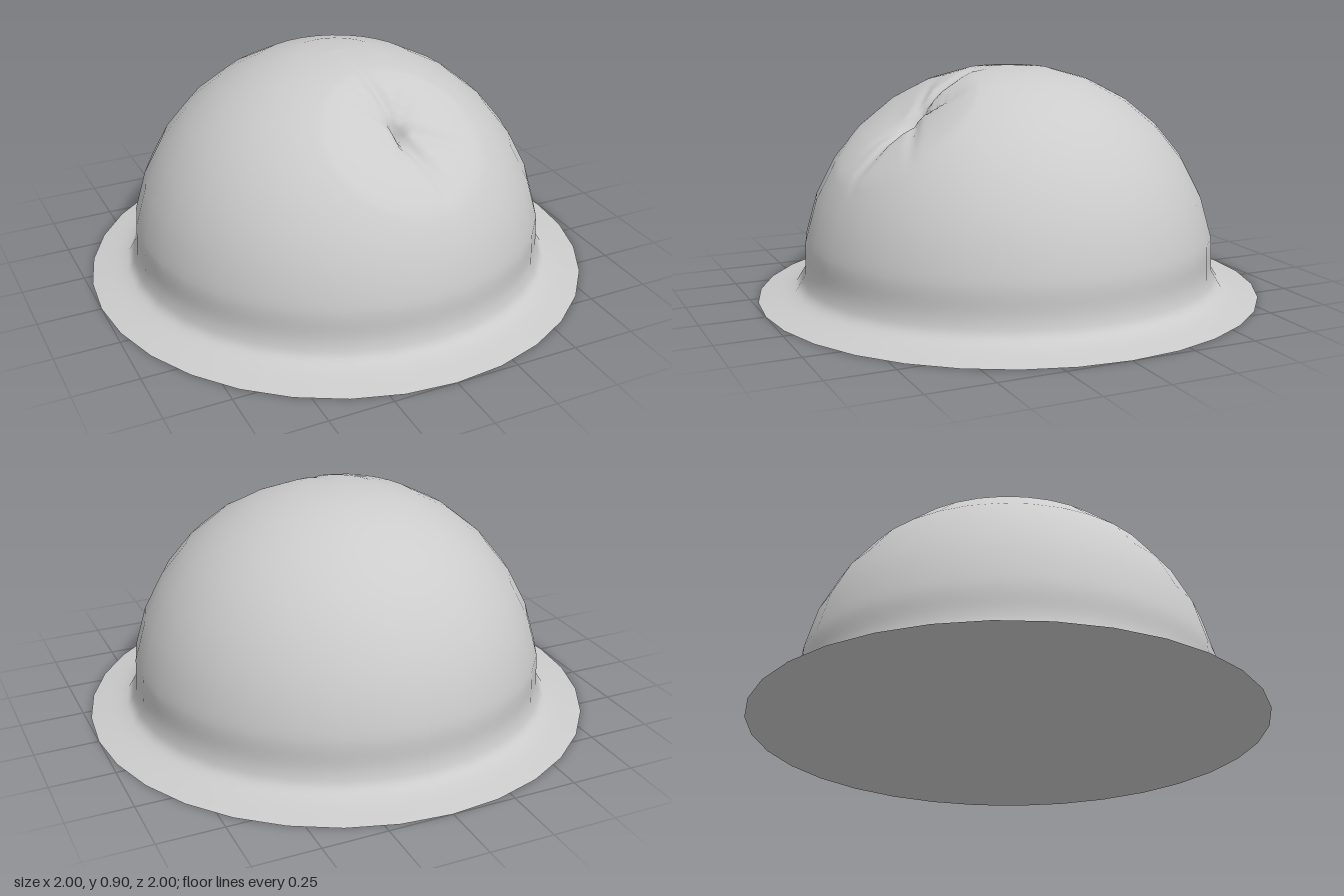
import * as THREE from 'three';

const SIDES = 32, SUB = 6; // visible facets, and fine steps per facet
const PROFILE = [
  [1, 0], [0.855, 0.035], [0.815, 0.1], [0.81, 0.235], [0.765, 0.395], [0.69, 0.54],
  [0.59, 0.665], [0.465, 0.768], [0.32, 0.845], [0.165, 0.89], [0, 0.905],
].map(([r, y]) => new THREE.Vector2(r, y));

// Impact dent: centre on the dome, and cracks as [dx, dz, depth] seen from above
const DENT = new THREE.Vector3(0.06, 0.735, 0.48);
const CRACKS = [
  [0.13, -0.19, 0.035], [0.09, 0.27, 0.035], [0.3, 0.1, 0.02],
  [-0.07, -0.38, 0.025], [-0.19, -0.2, 0.018], [-0.03, 0.2, 0.018],
];

function dentDepth(p) {
  const d = p.distanceTo(DENT);
  if (d > 0.5) return 0;
  let depth = 0.065 * Math.max(0, 1 - d / 0.32) ** 1.1;
  const x = p.x - DENT.x, z = p.z - DENT.z + 0.03;
  for (const [dx, dz, k] of CRACKS) {
    const len = Math.hypot(dx, dz);
    const along = (x * dx + z * dz) / len, across = Math.abs(x * dz - z * dx) / len;
    if (along > 0 && along < len) {
      depth += k * (1 - along / len) * Math.max(0, 1 - across / 0.035);
    }
  }
  return depth;
}

// Revolve a profile, optionally flatten it to the coarse facets, then press in the dent
function revolve(points, faceted) {
  const g = new THREE.LatheGeometry(points, SIDES * SUB, Math.PI);
  const pos = g.attributes.position, p = new THREE.Vector3(), dir = new THREE.Vector3();
  const step = 2 * Math.PI / SIDES;
  for (let i = 0; i < pos.count; i++) {
    p.fromBufferAttribute(pos, i);
    if (faceted) {
      const column = Math.floor(i / points.length) % SUB;
      const f = Math.cos(step / 2) / Math.cos((column / SUB) * step - step / 2);
      p.x *= f;
      p.z *= f;
    }
    dir.set(p.x, p.y - 0.08, p.z).normalize();
    p.addScaledVector(dir, -dentDepth(p));
    pos.setXYZ(i, p.x, p.y, p.z);
  }
  g.computeVertexNormals();
  return g;
}

export function createModel() {
  const group = new THREE.Group();
  group.name = 'dentedDome';
  const material = new THREE.MeshStandardMaterial({ color: 0xcccccc });

  // Straight-sided profile for the shape, curved one for the smooth shading
  const straight = [], curved = [];
  const spline = new THREE.SplineCurve(PROFILE);
  const spans = PROFILE.length - 1, rows = spans * SUB;
  for (let i = 0; i <= rows; i++) {
    const k = Math.min(Math.floor(i / SUB), spans - 1);
    straight.push(PROFILE[k].clone().lerp(PROFILE[k + 1], i / SUB - k));
    const c = spline.getPoint(i / rows);
    curved.push(new THREE.Vector2(Math.max(c.x, 0), c.y));
  }

  // Dome with flared brim
  const shell = revolve(straight, true);
  shell.setAttribute('normal', revolve(curved, false).attributes.normal);
  const dome = new THREE.Mesh(shell, material);
  dome.name = 'domeWithBrim';
  group.add(dome);

  // Flat underside
  const base = new THREE.Mesh(new THREE.CircleGeometry(1, SIDES), material);
  base.name = 'underside';
  base.rotation.x = Math.PI / 2;
  group.add(base);

  return group;
}
